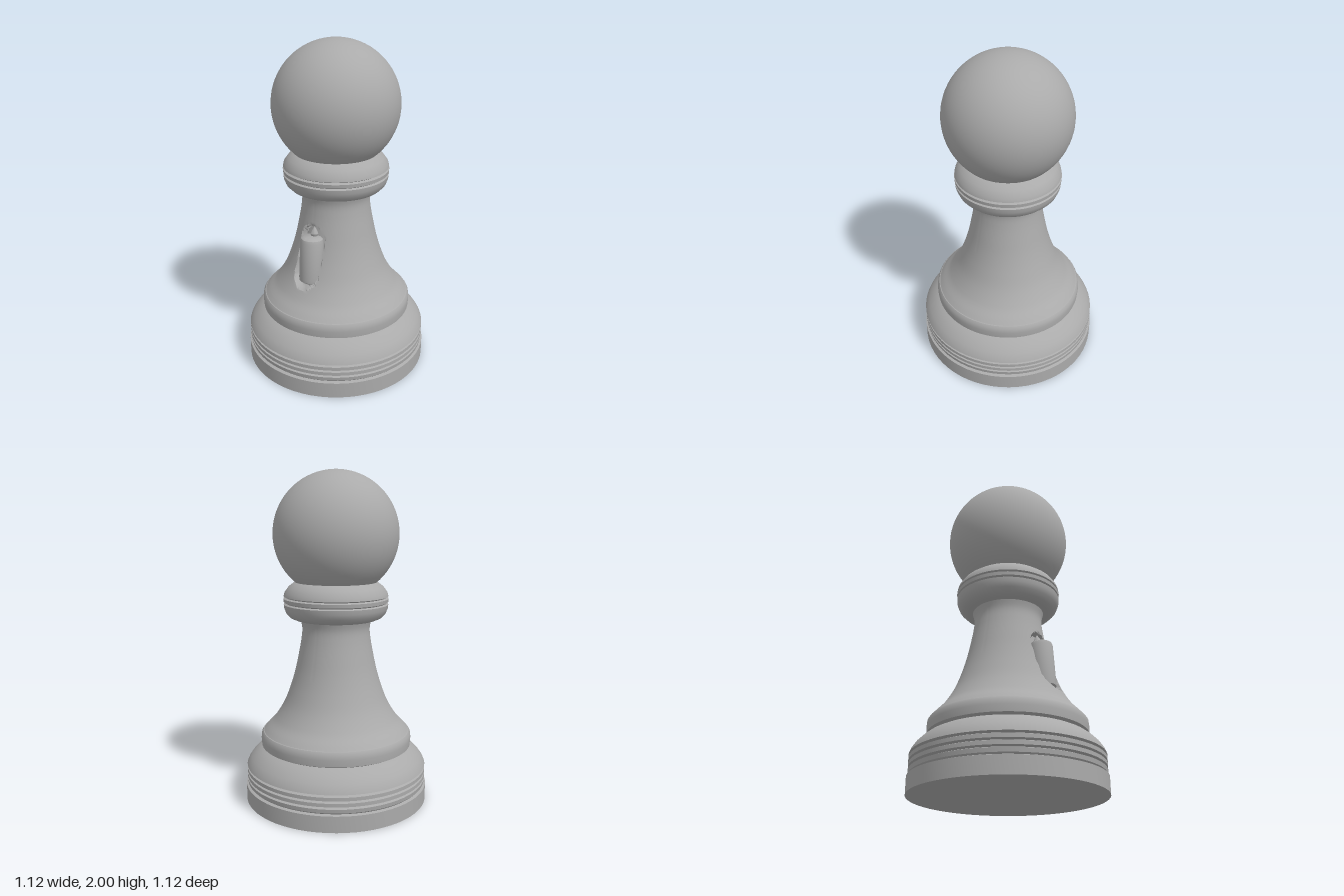
import * as THREE from 'three';
import { toCreasedNormals } from 'three/addons/utils/BufferGeometryUtils.js';

const stone = new THREE.MeshStandardMaterial({ color: 0xaaaaaa });
stone.name = 'grey stone';

function add(group, name, geometry, x = 0, y = 0, z = 0) {
  const mesh = new THREE.Mesh(geometry, stone);
  mesh.name = name;
  mesh.position.set(x, y, z);
  group.add(mesh);
  return mesh;
}

const vectors = (points) => points.map(([r, y]) => new THREE.Vector2(r, y));
const turned = (points, segments = 64) =>
  toCreasedNormals(new THREE.LatheGeometry(vectors(points), segments), 0.6);

// Flared shaft with a shallow arched niche pressed into its front
function shaftGeometry() {
  const curve = new THREE.SplineCurve(vectors([
    [0.455, 0.42], [0.425, 0.455], [0.375, 0.51], [0.32, 0.6], [0.28, 0.7],
    [0.25, 0.8], [0.228, 0.9], [0.21, 1.0], [0.205, 1.07], [0.22, 1.13],
  ]));
  const geometry = new THREE.LatheGeometry(curve.getSpacedPoints(70), 160);
  const p = geometry.attributes.position;
  for (let i = 0; i < p.count; i++) {
    const x = p.getX(i), y = p.getY(i), z = p.getZ(i);
    if (z < 0) continue;
    // Distance to the niche's vertical centre line gives its round top
    const dy = y > 0.85 ? y - 0.85 : y < 0.645 ? 0.645 - y : 0;
    const d = Math.hypot(x, dy);
    const depth = 0.04 * (1 - THREE.MathUtils.smoothstep(d, 0.074, 0.088));
    p.setZ(i, z - depth);
  }
  return toCreasedNormals(geometry, 0.6);
}

export function createModel() {
  const pawn = new THREE.Group();
  pawn.name = 'pawn';

  // Foot with a flat underside and fine turned grooves
  add(pawn, 'base', turned([
    [0, 0], [0.56, 0], [0.56, 0.098], [0.542, 0.104],
    [0.55, 0.112], [0.553, 0.135], [0.535, 0.142],
    [0.553, 0.149], [0.553, 0.17], [0.535, 0.177],
    [0.553, 0.184], [0.553, 0.205], [0.535, 0.212],
    [0.553, 0.22], [0.545, 0.24], [0.525, 0.27], [0.495, 0.3],
    [0.465, 0.323], [0.44, 0.335], [0.46, 0.345], [0.463, 0.385],
    [0.46, 0.415], [0.45, 0.43], [0.4, 0.45],
  ]));

  add(pawn, 'shaft', shaftGeometry());

  // Rounded collar with two grooves
  add(pawn, 'collar', turned([
    [0.19, 1.115], [0.245, 1.118], [0.275, 1.13], [0.3, 1.155], [0.312, 1.185],
    [0.315, 1.21], [0.303, 1.217], [0.315, 1.224], [0.317, 1.245],
    [0.303, 1.252], [0.315, 1.259], [0.31, 1.28], [0.285, 1.315],
    [0.245, 1.345], [0.2, 1.355], [0.2, 1.4],
  ]));

  add(pawn, 'head', new THREE.SphereGeometry(0.375, 64, 40), 0, 1.625, 0);

  // Candle relief standing in the niche
  const candle = new THREE.Group();
  candle.name = 'candle';
  candle.position.set(0, 0.58, 0.25);
  candle.rotation.x = -0.07;
  pawn.add(candle);
  add(candle, 'candleBody', turned([
    [0, 0], [0.055, 0.002], [0.068, 0.012], [0.07, 0.03],
    [0.07, 0.262], [0.065, 0.28], [0.05, 0.29], [0, 0.292],
  ], 32));
  add(candle, 'candleFlame', turned([
    [0, 0.285], [0.018, 0.29], [0.024, 0.305], [0.016, 0.325], [0, 0.35],
  ], 16), 0, 0, -0.02);

  return pawn;
}
